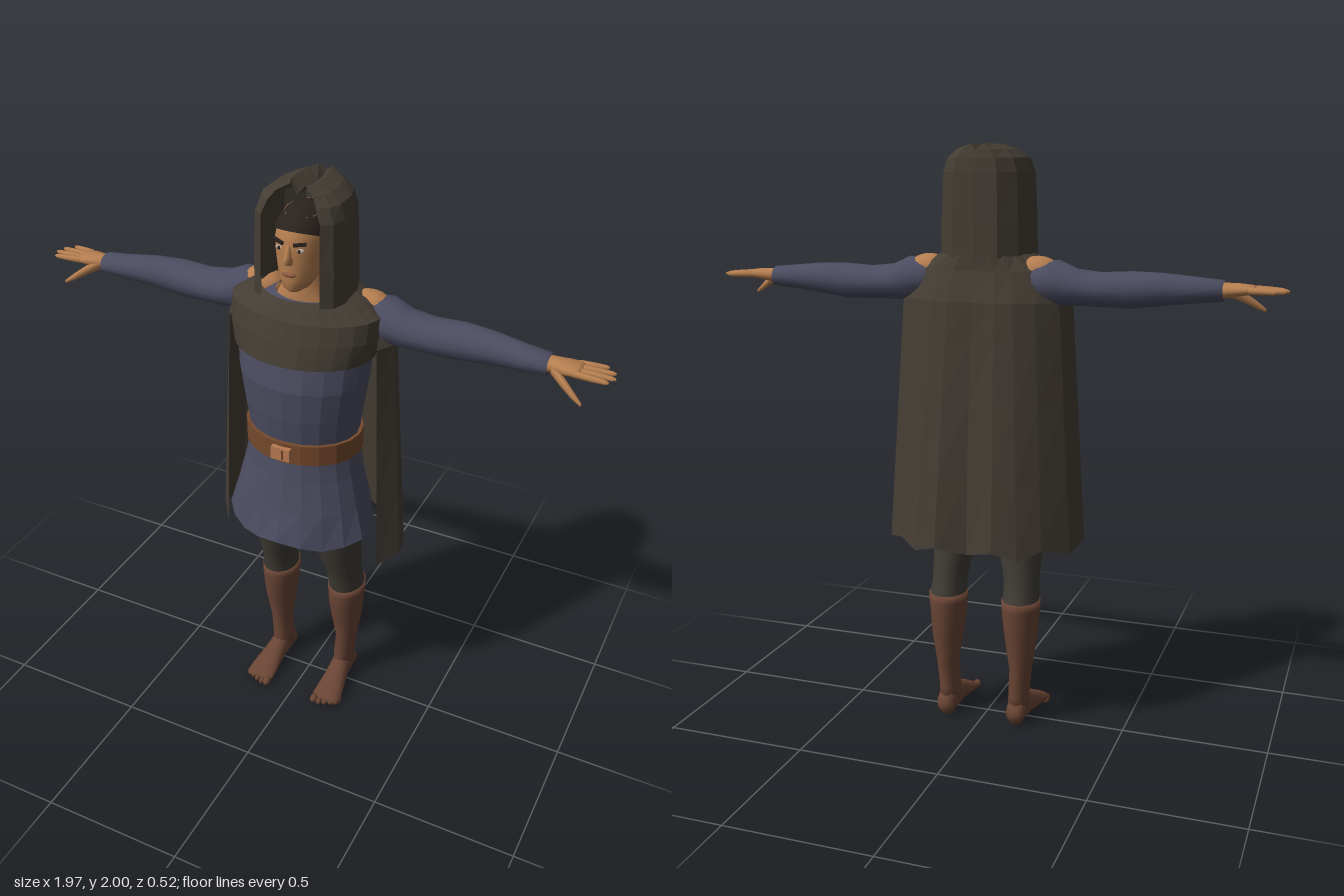
import * as THREE from 'three';

const V = (x, y, z) => new THREE.Vector3(x, y, z);
const mat = (name, color, side = THREE.FrontSide) => {
  const m = new THREE.MeshStandardMaterial({ color, side });
  m.name = name;
  return m;
};

// Skin a grid of points: rows stacked upward, columns counterclockwise seen from above
function skin(rows, closed, flat) {
  const n = rows[0].length, pos = [], idx = [];
  rows.forEach(r => r.forEach(p => pos.push(p.x, p.y, p.z)));
  for (let i = 0; i < rows.length - 1; i++) {
    for (let j = 0; j < (closed ? n : n - 1); j++) {
      const k = (j + 1) % n, a = i * n + j, b = i * n + k;
      idx.push(a, b, b + n, a, b + n, a + n);
    }
  }
  let g = new THREE.BufferGeometry();
  g.setAttribute('position', new THREE.Float32BufferAttribute(pos, 3));
  g.setIndex(idx);
  if (flat) g = g.toNonIndexed();
  g.computeVertexNormals();
  return g;
}

// Elliptical rings from sections [t, c1, c2, r1, r2] along the y, x or z axis
const MAP = {
  y: (u, t, v) => V(u, t, v),
  x: (u, t, v) => V(t, v, u),
  z: (u, t, v) => V(v, u, t),
};
function rings(sections, n, axis = 'y', from = 0, to = Math.PI * 2) {
  const whole = to - from > 6.28;
  return sections.map(([t, c1, c2, r1, r2]) =>
    Array.from({ length: whole ? n : n + 1 }, (_, i) => {
      const a = from + (to - from) * i / n;
      return MAP[axis](c1 + r1 * Math.sin(a), t, c2 + r2 * Math.cos(a));
    }));
}
function loft(sections, n, axis = 'y', cap = false) {
  const s = sections.slice();
  if (cap) {
    const end = q => [q[0], q[1], q[2], 1e-4, 1e-4];
    s.unshift(end(s[0]));
    s.push(end(s[s.length - 1]));
  }
  return skin(rings(s, n, axis), true, false);
}

// Mirror a geometry across x, keeping its faces outward
function mirror(geo) {
  const g = geo.index ? geo.toNonIndexed() : geo.clone();
  g.scale(-1, 1, 1);
  for (const key of ['position', 'normal']) {
    const a = g.attributes[key].array;
    for (let i = 0; i < a.length; i += 9)
      for (let k = 0; k < 3; k++) [a[i + 3 + k], a[i + 6 + k]] = [a[i + 6 + k], a[i + 3 + k]];
  }
  return g;
}

const ball = (x, y, z, rx, ry, rz, n = 12) =>
  new THREE.SphereGeometry(1, n, Math.ceil(n * 0.7)).scale(rx, ry, rz).translate(x, y, z);

export function createModel() {
  const model = new THREE.Group();
  model.name = 'cloakedFigure';
  const cloth = mat('cloakCloth', 0x443d34, THREE.DoubleSide);
  const blue = mat('tunicBlue', 0x4b4c60, THREE.DoubleSide);
  const flesh = mat('skin', 0xb57e50);
  const leather = mat('beltLeather', 0x74492c);
  const brass = mat('buckleBrass', 0xb97a50);
  const boot = mat('bootBrown', 0x6a4535);
  const hose = mat('hoseGrey', 0x403c35);
  const hairDark = mat('hairDark', 0x2a221e, THREE.DoubleSide);
  const lip = mat('lips', 0x8f5a40);
  const white = mat('eyeWhite', 0xb8aca0);

  const add = (name, geo, m) => {
    const mesh = new THREE.Mesh(geo, m);
    mesh.name = name;
    model.add(mesh);
  };
  const pair = (name, geo, m) => {
    add(name + 'Left', geo, m);
    add(name + 'Right', mirror(geo), m);
  };

  // Tunic with a gently waved hem
  const tunic = rings([
    [0.78, 0, 0.045, 0.262, 0.205], [0.9, 0, 0.042, 0.238, 0.18], [1.02, 0, 0.037, 0.207, 0.162],
    [1.13, 0, 0.035, 0.187, 0.15], [1.25, 0, 0.04, 0.205, 0.16], [1.36, 0, 0.04, 0.222, 0.166],
    [1.46, 0, 0.03, 0.23, 0.16], [1.57, 0, 0.01, 0.2, 0.13], [1.63, 0, 0.005, 0.11, 0.09],
  ], 20);
  tunic[0].forEach((p, i) => {
    const w = Math.cos(i * Math.PI * 0.5);
    p.x *= 1 + 0.025 * w;
    p.z *= 1 + 0.025 * w;
    p.y += 0.012 * w;
  });
  add('tunic', skin(tunic, true, true), blue);

  // Belt and buckle
  add('belt', skin(rings([
    [1.09, 0, 0.035, 0.18, 0.145], [1.09, 0, 0.035, 0.203, 0.168],
    [1.163, 0, 0.035, 0.203, 0.168], [1.163, 0, 0.035, 0.18, 0.145],
  ], 20), true, true), leather);
  add('buckle', new THREE.BoxGeometry(0.068, 0.046, 0.018).translate(0, 1.128, 0.208), brass);
  add('buckleTongue', new THREE.BoxGeometry(0.006, 0.034, 0.006).translate(0.008, 1.128, 0.217), leather);

  // Mantle over the chest
  add('mantle', skin(rings([
    [1.455, 0, 0.03, 0.24, 0.185], [1.53, 0, 0.02, 0.258, 0.178], [1.595, 0, 0.01, 0.258, 0.168],
    [1.63, 0, 0, 0.2, 0.155], [1.65, 0, 0, 0.155, 0.14],
  ], 14, 'y', -1.65, 1.65), false, true), cloth);

  // Half outlines run from the +x front edge to the centre back, then repeat on the -x side
  const drape = rows => skin(rows.map(r => [
    ...r.map(([x, y, z]) => V(x, y, z)),
    ...r.slice(0, -1).reverse().map(([x, y, z]) => V(-x, y, z)),
  ]), false, true);

  // Cloak hanging behind in soft folds
  const cloakHem = [[0.295, 0.07], [0.348, 0.0], [0.325, -0.1], [0.25, -0.18], [0.18, -0.235], [0.1, -0.26], [0, -0.225]];
  const cloakTop = [[0.262, 0.06], [0.296, 0], [0.272, -0.08], [0.205, -0.135], [0.14, -0.165], [0.08, -0.176], [0, -0.172]];
  const cloakYoke = [[0.235, 0.02], [0.245, -0.03], [0.22, -0.075], [0.17, -0.108], [0.12, -0.13], [0.07, -0.143], [0, -0.143]];
  const cloakNeck = [[0.155, 0], [0.152, -0.03], [0.142, -0.06], [0.122, -0.09], [0.09, -0.12], [0.05, -0.137], [0, -0.14]];
  const level = (list, y) => list.map(([x, z]) => [x, y, z]);
  const cloakRows = [0, 0.3, 0.6, 0.85, 1].map(t => cloakHem.map(([x, z], i) => [
    x + (cloakTop[i][0] - x) * t,
    0.675 + (1.5 - 0.675) * t + (1 - t) * (i % 2 ? 0.012 : -0.012),
    z + (cloakTop[i][1] - z) * t,
  ]));
  add('cloak', drape([...cloakRows, level(cloakYoke, 1.6), level(cloakNeck, 1.65)]), cloth);

  // Hood: [y, front edge x, front z, half width, back z], creased along the crown
  const hoodRows = [
    [1.64, 0.1, 0.135, 0.155, -0.14], [1.76, 0.1, 0.135, 0.153, -0.138], [1.91, 0.098, 0.13, 0.146, -0.133],
    [1.955, 0.08, 0.12, 0.13, -0.128], [1.982, 0.06, 0.1, 0.095, -0.12], [2.0, 0.025, 0.078, 0.042, -0.113],
    [1.968, 0, 0.085, 0, -0.09],
  ].map(([y, e, f, w, b]) => level([
    [e, f], [(e + w * 2) / 3, f - 0.025], [w, f * 0.45], [w, -0.02], [w * 0.86, b * 0.6], [w * 0.5, b * 0.95], [0, b],
  ], y));
  hoodRows[5][6][1] = 1.975;
  add('hood', drape(hoodRows), cloth);

  // Neck, head and face
  add('neck', loft([[1.58, 0, 0.01, 0.12, 0.08], [1.64, 0, 0.02, 0.088, 0.075],
    [1.68, 0, 0.025, 0.06, 0.06], [1.75, 0, 0.025, 0.056, 0.06]], 16), flesh);
  add('head', loft([
    [1.673, 0, 0.1, 0.02, 0.025], [1.686, 0, 0.08, 0.043, 0.06], [1.72, 0, 0.06, 0.063, 0.084],
    [1.76, 0, 0.045, 0.074, 0.098], [1.8, 0, 0.04, 0.08, 0.104], [1.84, 0, 0.035, 0.082, 0.109],
    [1.88, 0, 0.03, 0.077, 0.1], [1.91, 0, 0.025, 0.06, 0.08], [1.925, 0, 0.02, 0.03, 0.04],
  ], 20, 'y', true), flesh);
  add('nose', loft([[1.772, 0, 0.143, 0.013, 0.012], [1.782, 0, 0.147, 0.017, 0.023],
    [1.8, 0, 0.143, 0.011, 0.018], [1.835, 0, 0.138, 0.008, 0.01]], 8, 'y', true), flesh);
  add('lips', ball(0, 1.738, 0.142, 0.025, 0.008, 0.009), lip);
  pair('ear', ball(0.083, 1.8, 0.03, 0.01, 0.03, 0.018), flesh);
  pair('eye', ball(0.034, 1.818, 0.131, 0.014, 0.007, 0.009), white);
  pair('iris', ball(0.034, 1.818, 0.136, 0.006, 0.006, 0.006, 8), hairDark);
  pair('eyebrow', new THREE.BoxGeometry(0.04, 0.009, 0.009).rotateZ(0.12).rotateY(0.36).translate(0.036, 1.84, 0.137), hairDark);
  add('hair', new THREE.SphereGeometry(1, 20, 8, 0, Math.PI * 2, 0, Math.PI / 2)
    .rotateX(-0.42).scale(0.088, 0.1, 0.114).translate(0, 1.835, 0.032), hairDark);
  pair('sideburn', ball(0.08, 1.825, 0.055, 0.007, 0.045, 0.025), hairDark);

  // Shoulders and sleeves
  pair('shoulder', ball(0.19, 1.59, -0.045, 0.078, 0.056, 0.056, 14), flesh);
  pair('sleeve', loft([
    [0.14, -0.045, 1.57, 0.05, 0.05], [0.2, -0.045, 1.562, 0.075, 0.066], [0.26, -0.045, 1.56, 0.08, 0.075],
    [0.32, -0.04, 1.548, 0.076, 0.06], [0.4, -0.038, 1.543, 0.068, 0.056], [0.5, -0.04, 1.545, 0.062, 0.06],
    [0.6, -0.033, 1.55, 0.053, 0.052], [0.7, -0.02, 1.55, 0.046, 0.042], [0.785, -0.015, 1.55, 0.042, 0.034],
  ], 16, 'x', true), blue);

  // Hands
  pair('palm', loft([[0.76, -0.015, 1.55, 0.028, 0.025], [0.8, -0.015, 1.552, 0.033, 0.024],
    [0.84, -0.012, 1.555, 0.043, 0.02], [0.875, -0.012, 1.556, 0.045, 0.015], [0.885, -0.012, 1.556, 0.04, 0.01],
  ], 12, 'x', true), flesh);
  [[-0.046, -0.064, 0.952], [-0.023, -0.036, 0.979], [0, -0.005, 0.986], [0.022, 0.025, 0.972]].forEach(([z0, z1, tip], i) => {
    const at = (t, r) => [0.865 + (tip - 0.865) * t, z0 + (z1 - z0) * t, 1.556 - 0.003 * t, r, r];
    pair('finger' + (i + 1), loft([at(0, 0.0115), at(0.5, 0.0105), at(0.9, 0.008), at(1, 0.004)], 8, 'x', true), flesh);
  });
  pair('thumb', loft([[0.8, 0.005, 1.545, 0.016, 0.016], [0.84, 0.032, 1.528, 0.016, 0.017],
    [0.88, 0.052, 1.503, 0.011, 0.013], [0.91, 0.063, 1.484, 0.005, 0.006]], 8, 'x', true), flesh);

  // Hose and hips
  add('hips', ball(0, 0.9, 0.02, 0.19, 0.13, 0.115, 16), hose);
  pair('hoseLeg', loft([
    [0.45, 0.135, -0.037, 0.064, 0.08], [0.5, 0.133, -0.025, 0.06, 0.076], [0.55, 0.13, -0.015, 0.064, 0.076],
    [0.65, 0.119, 0.008, 0.08, 0.086], [0.75, 0.113, 0.02, 0.096, 0.1], [0.9, 0.105, 0.02, 0.1, 0.105],
  ], 16), hose);

  // Boots shaped to the foot
  pair('bootShaft', loft([
    [0.05, 0.13, -0.04, 0.038, 0.055], [0.1, 0.13, -0.037, 0.036, 0.052], [0.2, 0.137, -0.042, 0.038, 0.053],
    [0.3, 0.137, -0.039, 0.054, 0.069], [0.38, 0.135, -0.036, 0.062, 0.081], [0.43, 0.135, -0.037, 0.066, 0.084],
    [0.458, 0.135, -0.037, 0.067, 0.084],
  ], 16, 'y', true), boot);
  pair('bootFoot', loft([
    [-0.1, 0.04, 0.13, 0.02, 0.02], [-0.085, 0.043, 0.13, 0.043, 0.034], [-0.04, 0.055, 0.13, 0.055, 0.037],
    [0.01, 0.048, 0.132, 0.048, 0.038], [0.06, 0.036, 0.136, 0.036, 0.044], [0.11, 0.025, 0.139, 0.025, 0.052],
    [0.145, 0.018, 0.14, 0.018, 0.054], [0.16, 0.015, 0.14, 0.012, 0.048],
  ], 14, 'z', true), boot);
  for (let i = 0; i < 5; i++) {
    const r = i ? 0.011 : 0.015;
    pair('toe' + (i + 1), ball(0.101 + i * 0.021, r, 0.165 - i * i * 0.0022, r, r, 0.022, 8), boot);
  }

  return model;
}
